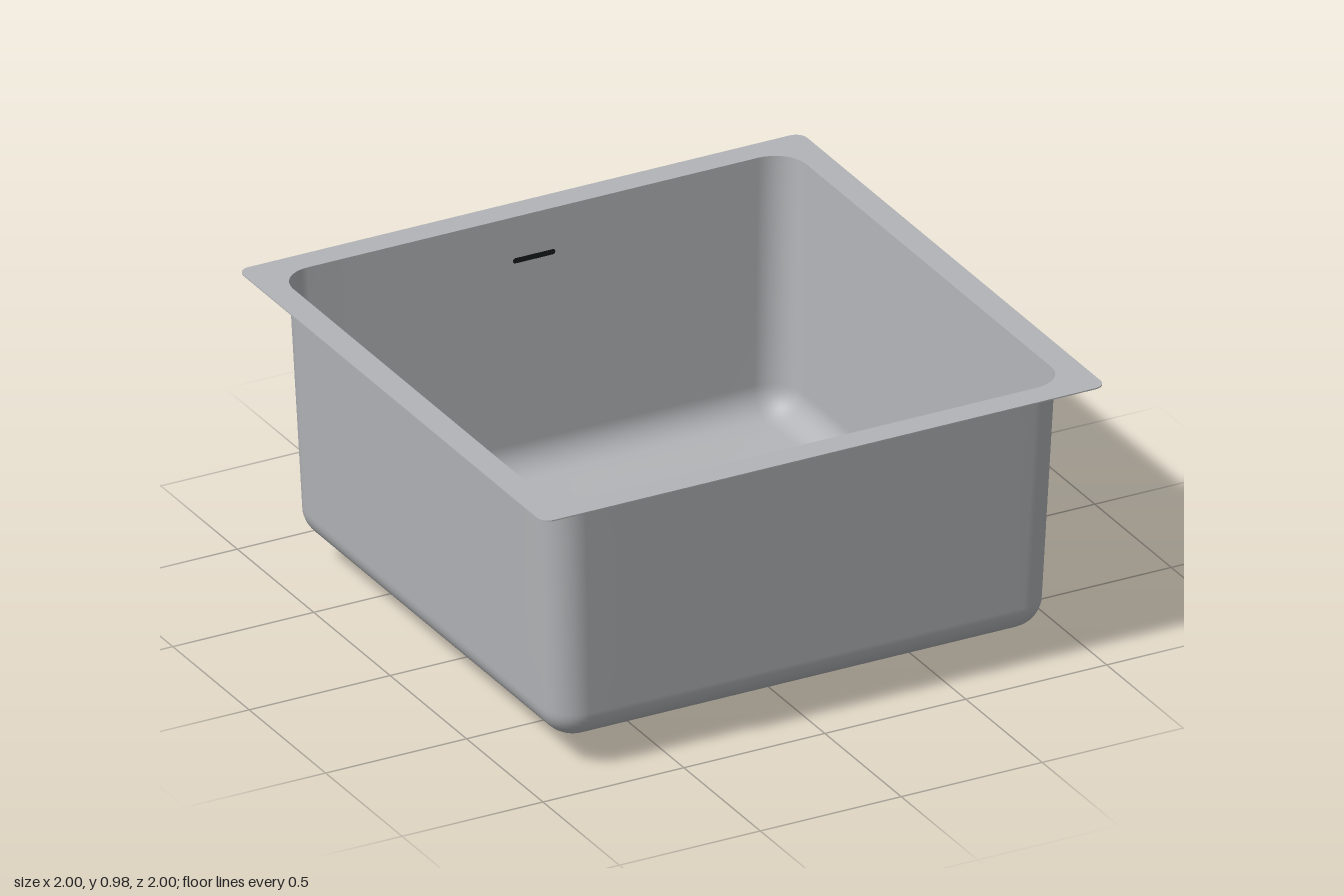
import * as THREE from 'three';

const RIM_Y = 0.975, DRAIN_Z = -0.32, DRAIN_R = 0.225;

// Points around a rounded square, with extra points along the straight sides
function roundedSquare(half, radius, cornerSteps = 8, sideSteps = 12) {
  const pts = [], c = half - radius;
  for (let k = 0; k < 4; k++) {
    const turn = (k * Math.PI) / 2, cos = Math.cos(turn), sin = Math.sin(turn);
    const add = (x, z) => pts.push(new THREE.Vector2(x * cos - z * sin, x * sin + z * cos));
    for (let i = 0; i <= cornerSteps; i++) {
      const a = (i / cornerSteps) * Math.PI / 2;
      add(c + radius * Math.cos(a), c + radius * Math.sin(a));
    }
    for (let i = 1; i < sideSteps; i++) add(c - (2 * c * i) / sideSteps, half);
  }
  return pts;
}

// Smooth skin through closed rings of equal point count
function skin(rings) {
  const n = rings[0].length, index = [];
  for (let r = 0; r < rings.length - 1; r++) {
    for (let i = 0; i < n; i++) {
      const a = r * n + i, b = r * n + ((i + 1) % n);
      index.push(a, b, a + n, b, b + n, a + n);
    }
  }
  const geo = new THREE.BufferGeometry().setFromPoints(rings.flat());
  geo.setIndex(index);
  geo.computeVertexNormals();
  return geo;
}

export function createModel() {
  const steel = new THREE.MeshStandardMaterial({ color: 0xb2b4b7, side: THREE.DoubleSide });
  steel.name = 'brushed steel';
  const dark = new THREE.MeshStandardMaterial({ color: 0x141a1a });
  dark.name = 'dark opening';

  const model = new THREE.Group();
  model.name = 'sink';
  const add = (name, geo, mat, parent = model) => {
    const mesh = new THREE.Mesh(geo, mat);
    mesh.name = name;
    parent.add(mesh);
    return mesh;
  };

  // Thin flat rim with a rounded square opening
  const rimShape = new THREE.Shape(roundedSquare(1, 0.04));
  rimShape.holes.push(new THREE.Path(roundedSquare(0.91, 0.11)));
  const rim = new THREE.ExtrudeGeometry(rimShape, { depth: 0.004, bevelEnabled: false });
  rim.rotateX(-Math.PI / 2);
  add('rim', rim, steel).position.y = RIM_Y - 0.004;

  // Basin: tapered walls, bottom fillet, floor falling to the drain
  const rings = [];
  const ring = (half, radius, y) =>
    rings.push(roundedSquare(half, radius).map((p) => new THREE.Vector3(p.x, y, p.y)));
  for (let i = 0; i < 5; i++) {
    const t = i / 5;
    ring(0.91 - 0.03 * t, 0.11, RIM_Y - (RIM_Y - 0.2) * t);
  }
  for (let i = 0; i <= 10; i++) {
    const a = (i / 10) * Math.PI / 2;
    const inset = 0.1 * (1 - Math.cos(a));
    ring(0.88 - inset, 0.11 - inset, 0.2 - 0.1 * Math.sin(a));
  }
  const edge = rings[rings.length - 1];
  const drainEdge = edge.map((p) => {
    const a = Math.atan2(p.z - DRAIN_Z, p.x);
    return new THREE.Vector3(DRAIN_R * Math.cos(a), 0.071, DRAIN_Z + DRAIN_R * Math.sin(a));
  });
  for (const t of [0.08, 0.3, 0.6, 1]) rings.push(edge.map((p, i) => p.clone().lerp(drainEdge[i], t)));
  add('basin', skin(rings), steel);

  // Drain: flared collar, perforated strainer, centre button, dark outlet
  const drain = new THREE.Group();
  drain.name = 'drain';
  drain.position.z = DRAIN_Z;
  model.add(drain);
  const collar = [[0.165, 0], [0.165, 0.03], [0.168, 0.042], [0.175, 0.054], [0.185, 0.064], [0.2, 0.07], [DRAIN_R, 0.071]]
    .map(([x, y]) => new THREE.Vector2(x, y));
  add('drainCollar', new THREE.LatheGeometry(collar, 64), steel, drain);

  const plate = new THREE.Shape().absarc(0, 0, 0.165, 0, Math.PI * 2);
  for (const [count, radius] of [[20, 0.118], [12, 0.077]]) {
    for (let i = 0; i < count; i++) {
      const a = (i / count) * Math.PI * 2;
      plate.holes.push(new THREE.Path().absarc(radius * Math.cos(a), radius * Math.sin(a), 0.011, 0, Math.PI * 2, true));
    }
  }
  const strainer = new THREE.ShapeGeometry(plate, 16);
  strainer.rotateX(-Math.PI / 2);
  add('strainer', strainer, steel, drain).position.y = 0.014;
  add('strainerButton', new THREE.CylinderGeometry(0.03, 0.032, 0.006, 32), steel, drain).position.y = 0.017;
  add('drainOutlet', new THREE.CylinderGeometry(0.164, 0.164, 0.005, 48), dark, drain).position.y = 0.0025;

  // Overflow slot on the inside of the back wall
  const slot = new THREE.Shape();
  slot.absarc(0.066, 0, 0.009, -Math.PI / 2, Math.PI / 2);
  slot.absarc(-0.066, 0, 0.009, Math.PI / 2, Math.PI * 1.5);
  const overflow = add('overflowSlot', new THREE.ShapeGeometry(slot), dark);
  overflow.position.set(0, 0.826, -0.902);
  overflow.rotation.x = -0.039;

  return model;
}
